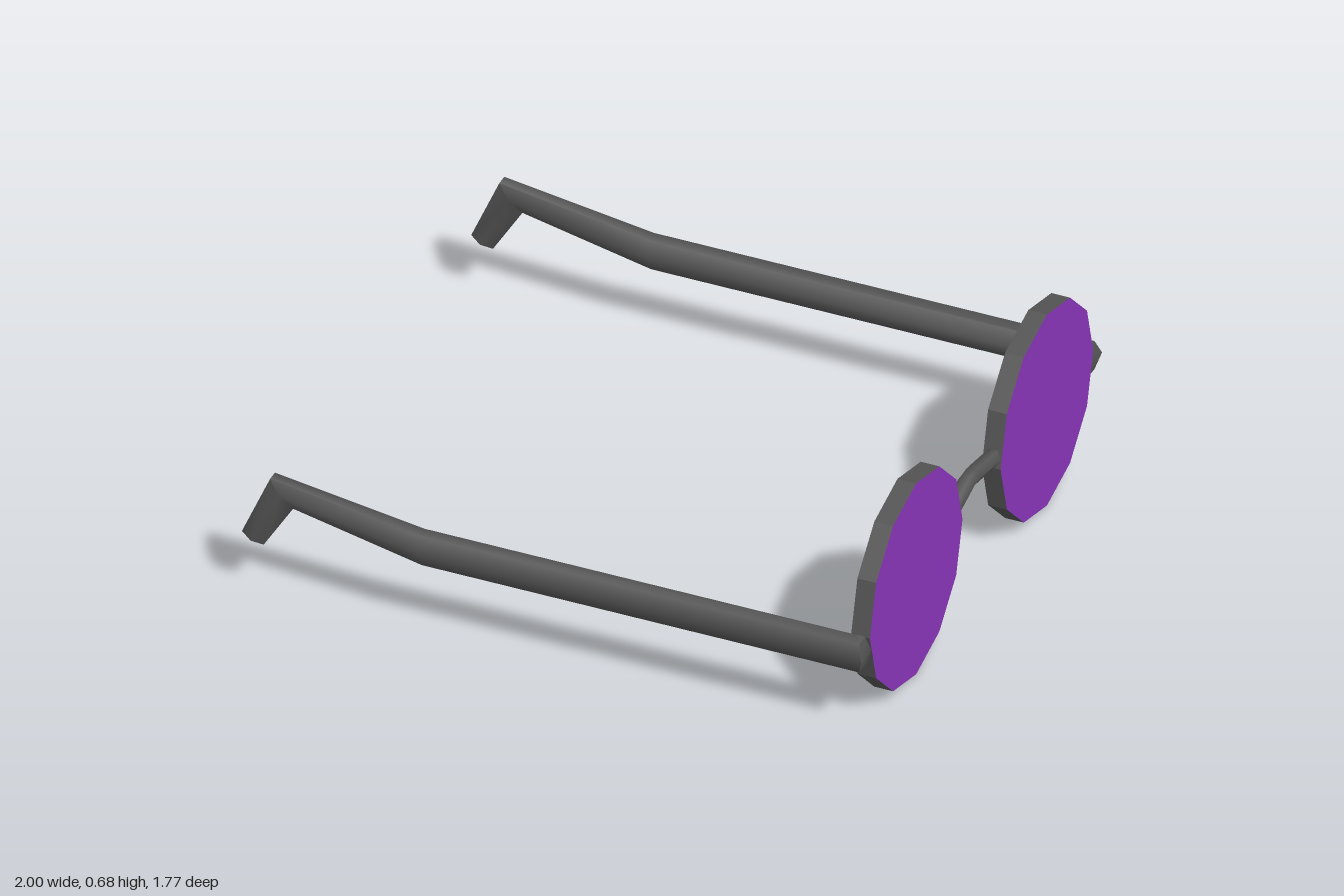
import * as THREE from 'three';
import { toCreasedNormals } from 'three/addons/utils/BufferGeometryUtils.js';

const frameMat = new THREE.MeshStandardMaterial({ color: 0x555555 });
const rimMat = new THREE.MeshStandardMaterial({ color: 0x555555, flatShading: true });
const lensMat = new THREE.MeshStandardMaterial({ color: 0x8a36ba });

const SIDES = 6;
const vec = (a) => new THREE.Vector3(...a);

// Hexagonal bar through sections [centre, half height, half width], flats along the height
function bar(sections) {
  const rings = sections.map(([c, u, w]) => {
    const ring = [];
    for (let j = 0; j < SIDES; j++) {
      const t = ((j + 0.5) / SIDES) * Math.PI * 2;
      ring.push(vec(c)
        .addScaledVector(vec(u), Math.cos(t) / Math.cos(Math.PI / SIDES))
        .addScaledVector(vec(w), Math.sin(t) / Math.sin(Math.PI / 2)));
    }
    return ring;
  });
  const dir = vec(sections[1][0]).sub(vec(sections[0][0]));
  const forward = vec(sections[0][1]).cross(vec(sections[0][2])).dot(dir) > 0;
  const points = [];
  const tri = (a, b, c) => points.push(...(forward ? [a, b, c] : [a, c, b]));
  for (let i = 0; i < rings.length - 1; i++) {
    for (let j = 0; j < SIDES; j++) {
      const k = (j + 1) % SIDES;
      tri(rings[i][j], rings[i][k], rings[i + 1][k]);
      tri(rings[i][j], rings[i + 1][k], rings[i + 1][j]);
    }
  }
  const first = rings[0], last = rings[rings.length - 1];
  for (let j = 1; j < SIDES - 1; j++) {
    tri(first[0], first[j + 1], first[j]);
    tri(last[0], last[j], last[j + 1]);
  }
  return toCreasedNormals(new THREE.BufferGeometry().setFromPoints(points), 1.25);
}

function addMesh(parent, name, geometry, material) {
  const mesh = new THREE.Mesh(geometry, material);
  mesh.name = name;
  parent.add(mesh);
  return mesh;
}

export function createModel() {
  const model = new THREE.Group();
  model.name = 'roundGlasses';

  for (const [s, side] of [[1, 'Front'], [-1, 'Back']]) {
    // Twelve-sided rim with a flat lens on both faces
    const eye = new THREE.Group();
    eye.name = 'eyepiece' + side;
    eye.position.set(0.97, 0.34, 0.48 * s);
    const rim = new THREE.CylinderGeometry(0.34, 0.34, 0.06, 12, 1, true);
    addMesh(eye, 'rim', rim.rotateZ(-Math.PI / 2), rimMat);
    for (const f of [1, -1]) {
      const face = new THREE.CircleGeometry(0.34, 12).rotateY((f * Math.PI) / 2);
      addMesh(eye, f > 0 ? 'lensOuter' : 'lensInner', face, lensMat).position.x = 0.03 * f;
    }
    model.add(eye);

    // Temple arm: mitred hinge corner, straight run, rise, hooked ear tip
    addMesh(model, 'temple' + side, bar([
      [[0.97, 0.292, 0.8 * s], [0, 0.05, 0], [0.028, 0, 0]],
      [[0.97, 0.292, 0.842 * s], [0, 0.05, 0], [0.03, 0, 0.043 * s]],
      [[-0.425, 0.29, 0.842 * s], [-0.005, 0.05, 0], [0, 0, 0.043 * s]],
      [[-0.872, 0.368, 0.842 * s], [-0.037, 0.043, 0], [0, 0, 0.036 * s]],
      [[-0.965, 0.185, 0.842 * s], [-0.035, 0.015, 0], [0, 0, 0.033 * s]],
    ]), frameMat);
  }

  // Arched nose bridge
  const arch = [[0.155, 0.37], [0.045, 0.401], [0.01, 0.402], [-0.155, 0.37]];
  addMesh(model, 'bridge', bar(arch.map(([z, y]) =>
    [[0.97, y, z], [0, 0.025, 0], [0.028, 0, 0]])), frameMat);

  return model;
}
